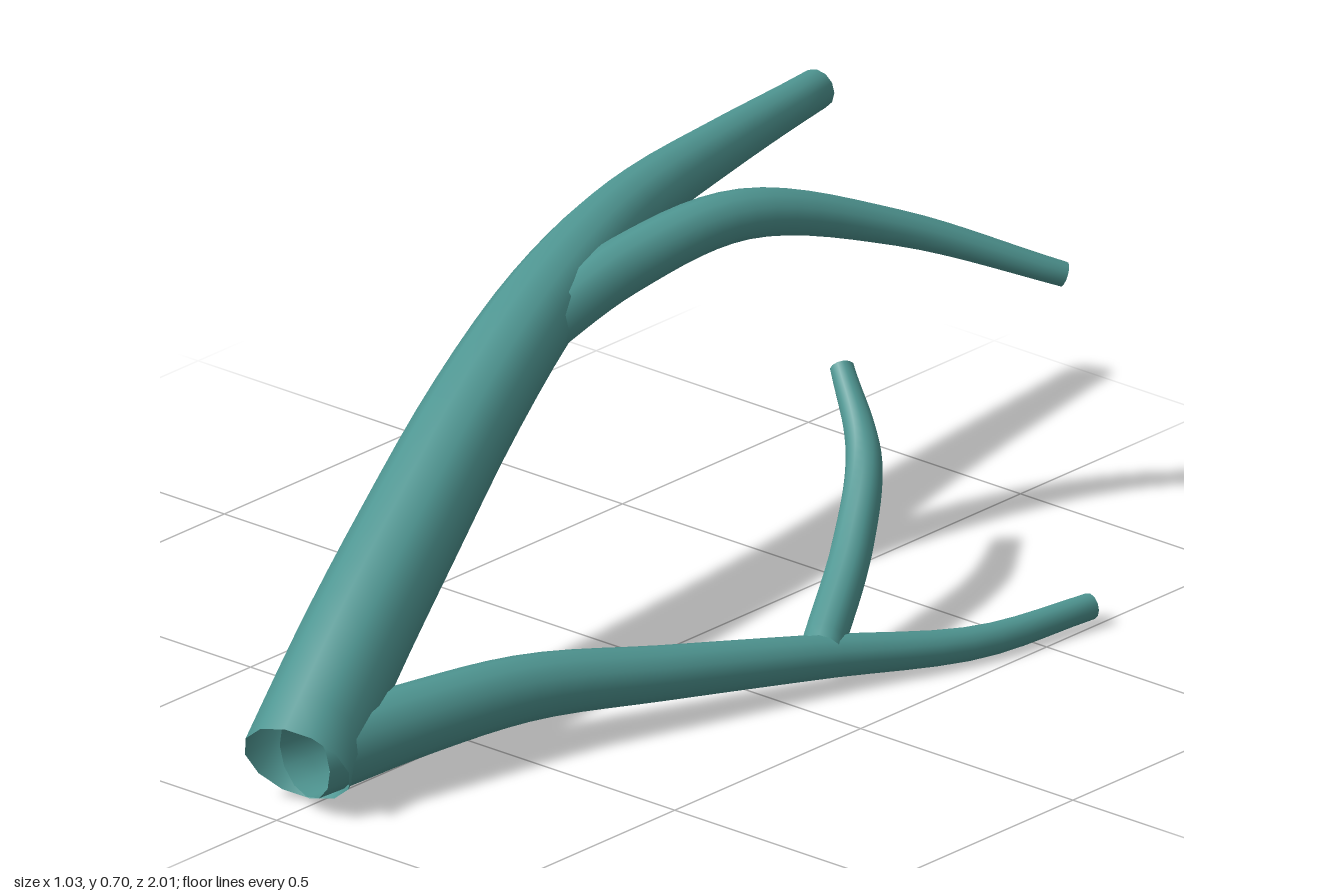
import * as THREE from 'three';

const SIDES = 12, STEPS = 28;

// Open tapered tube; each station is [x, y, z, radius]
function taperedTube(stations) {
  const curve = new THREE.CatmullRomCurve3(
    stations.map(([x, y, z]) => new THREE.Vector3(x, y, z)), false, 'centripetal');
  // radius follows its own smooth curve, matched to the stations
  const radii = new THREE.SplineCurve(
    stations.map((s, i) => new THREE.Vector2(i, s[3])));
  const positions = [], indices = [];
  const up = new THREE.Vector3(0, 1, 0);
  for (let i = 0; i <= STEPS; i++) {
    const t = i / STEPS;
    const c = curve.getPoint(t), tangent = curve.getTangent(t);
    const r = radii.getPoint(t).y;
    const side = new THREE.Vector3().crossVectors(up, tangent).normalize();
    const over = new THREE.Vector3().crossVectors(tangent, side);
    for (let j = 0; j < SIDES; j++) {
      const a = (j / SIDES) * Math.PI * 2;
      const p = c.clone()
        .addScaledVector(side, Math.cos(a) * r)
        .addScaledVector(over, Math.sin(a) * r);
      positions.push(p.x, p.y, p.z);
    }
  }
  for (let i = 0; i < STEPS; i++) {
    for (let j = 0; j < SIDES; j++) {
      const k = (j + 1) % SIDES;
      const a = i * SIDES + j, b = i * SIDES + k;
      indices.push(a, b, a + SIDES, b, b + SIDES, a + SIDES);
    }
  }
  const geometry = new THREE.BufferGeometry();
  geometry.setAttribute('position', new THREE.Float32BufferAttribute(positions, 3));
  geometry.setIndex(indices);
  geometry.computeVertexNormals();
  return geometry;
}

const BRANCHES = {
  // thick limb rising to the back right
  mainLimb: [
    [0, 0.095, 0.945, 0.102], [-0.065, 0.24, 0.72, 0.099], [-0.13, 0.36, 0.5, 0.095],
    [-0.205, 0.483, 0.25, 0.088], [-0.275, 0.58, 0, 0.079], [-0.335, 0.63, -0.22, 0.069],
    [-0.385, 0.647, -0.42, 0.06], [-0.435, 0.65, -0.7, 0.048], [-0.48, 0.65, -1, 0.037],
  ],
  // fork arching off the thick limb
  upperTwig: [
    [-0.25, 0.56, 0.05, 0.054], [-0.24, 0.625, -0.21, 0.053], [-0.185, 0.657, -0.47, 0.046],
    [-0.06, 0.58, -0.74, 0.033], [0.12, 0.465, -0.98, 0.023],
  ],
  // thinner limb staying low to the back left
  lowerLimb: [
    [0.005, 0.102, 0.93, 0.075], [0.06, 0.118, 0.68, 0.067], [0.115, 0.119, 0.45, 0.06],
    [0.21, 0.094, 0.2, 0.05], [0.325, 0.063, -0.1, 0.04], [0.44, 0.034, -0.38, 0.03],
    [0.485, 0.036, -0.635, 0.024],
  ],
  // small fork rising from the lower limb
  lowerTwig: [
    [0.32, 0.075, -0.1, 0.039], [0.225, 0.183, -0.29, 0.038],
    [0.13, 0.293, -0.43, 0.032], [0, 0.397, -0.52, 0.022],
  ],
};

export function createModel() {
  const model = new THREE.Group();
  model.name = 'branch';
  const teal = new THREE.MeshStandardMaterial({ color: 0x4f9692, side: THREE.DoubleSide });
  teal.name = 'teal';
  for (const [name, stations] of Object.entries(BRANCHES)) {
    const mesh = new THREE.Mesh(taperedTube(stations), teal);
    mesh.name = name;
    model.add(mesh);
  }
  return model;
}
